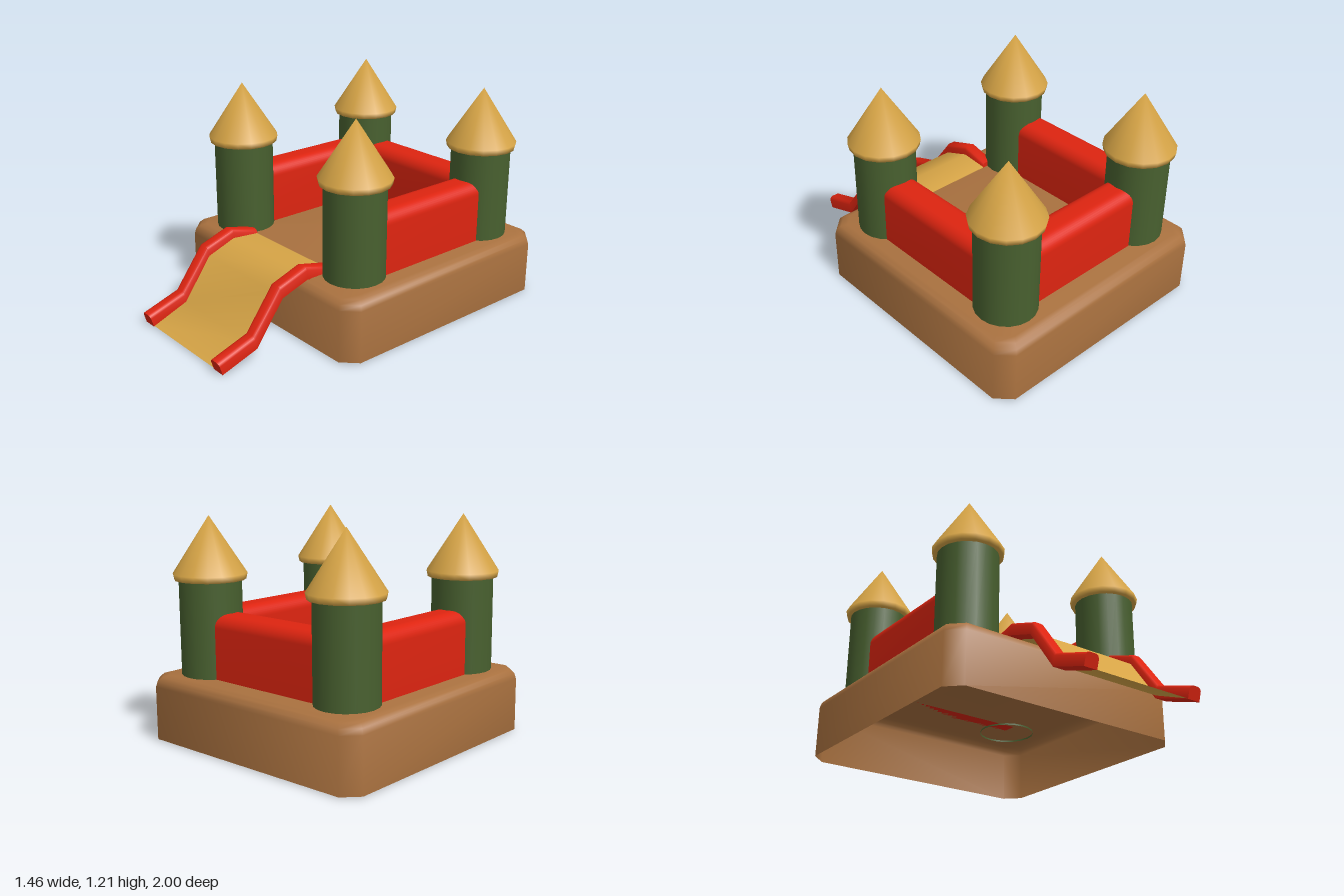
import * as THREE from 'three';
import { mergeVertices, toCreasedNormals } from 'three/addons/utils/BufferGeometryUtils.js';

const mat = (name, color) => {
  const m = new THREE.MeshStandardMaterial({ color, side: THREE.DoubleSide });
  m.name = name;
  return m;
};

// Skin a list of closed rings (counterclockwise seen from the last ring's side)
function loft(rings, { capStart = false, capEnd = false, crease = 0.7 } = {}) {
  const n = rings[0].length, pos = rings.flat(2), idx = [];
  for (let r = 0; r < rings.length - 1; r++) {
    for (let i = 0; i < n; i++) {
      const a = r * n + i, b = r * n + (i + 1) % n;
      idx.push(a, b, b + n, a, b + n, a + n);
    }
  }
  const cap = (r, flip) => {
    const c = pos.length / 3;
    pos.push(...[0, 1, 2].map(k => rings[r].reduce((s, p) => s + p[k], 0) / n));
    for (let i = 0; i < n; i++) {
      const a = r * n + i, b = r * n + (i + 1) % n;
      idx.push(c, flip ? b : a, flip ? a : b);
    }
  };
  if (capStart) cap(0, true);
  if (capEnd) cap(rings.length - 1, false);
  const g = new THREE.BufferGeometry();
  g.setAttribute('position', new THREE.Float32BufferAttribute(pos, 3));
  g.setIndex(idx);
  return toCreasedNormals(g, crease);
}

export function createModel() {
  const brown = mat('tan brown', 0xa9713f);
  const green = mat('dark green', 0x48602f);
  const gold = mat('gold', 0xd6a446);
  const red = mat('red', 0xdd2410);
  const model = new THREE.Group();
  model.name = 'bouncyCastle';
  const add = (name, geo, m, x = 0, y = 0, z = 0) => {
    const mesh = new THREE.Mesh(geo, m);
    mesh.name = name;
    mesh.position.set(x, y, z);
    model.add(mesh);
    return mesh;
  };

  // Hollow base: chamfered rectangle with a rounded upper rim, open underneath
  const octagon = (y, inset) => {
    const X = 0.732 - inset, Z = 0.733 - inset, c = 0.08 - inset * 0.3, z0 = -0.267;
    return [[-X + c, Z], [X - c, Z], [X, Z - c], [X, -Z + c],
      [X - c, -Z], [-X + c, -Z], [-X, -Z + c], [-X, Z - c]].map(([x, z]) => [x, y, z + z0]);
  };
  const levels = [[0.01, 0], [0.3, 0], [0.33, 0.008], [0.351, 0.029], [0.36, 0.06]];
  add('base', loft(levels.map(([y, i]) => octagon(y, i)), { capEnd: true, crease: 0.9 }), brown);

  // Towers with conical roofs
  const tower = new THREE.CylinderGeometry(0.167, 0.167, 0.53, 20, 1, true);
  const profile = [[0.16, 0.872], [0.19, 0.872], [0.197, 0.905], [0, 1.21]]
    .map(p => new THREE.Vector2(...p));
  let roof = new THREE.LatheGeometry(profile, 16);
  roof.deleteAttribute('normal');
  roof.deleteAttribute('uv');
  roof = mergeVertices(roof);
  roof.computeVertexNormals();
  for (const [end, z] of [['front', 0.21], ['back', -0.743]]) {
    for (const [side, s] of [['Left', 1], ['Right', -1]]) {
      add(end + side + 'Tower', tower, green, s * 0.482, 0.615, z);
      add(end + side + 'Roof', roof, gold, s * 0.482, 0, z);
    }
  }

  // Inflated walls with rounded tops, running between tower centres
  const wall = (length) => {
    const w = 0.1, h = 0.345, r = 0.068, s = new THREE.Shape();
    s.moveTo(-w, 0);
    s.lineTo(w, 0);
    s.lineTo(w, h - r);
    s.absarc(w - r, h - r, r, 0, Math.PI / 2);
    s.absarc(-w + r, h - r, r, Math.PI / 2, Math.PI);
    s.lineTo(-w, 0);
    const g = new THREE.ExtrudeGeometry(s, { depth: length, bevelEnabled: false, curveSegments: 5 });
    return toCreasedNormals(g.translate(0, 0, -length / 2), 0.6);
  };
  const sideWall = wall(0.9);
  add('leftWall', sideWall, red, 0.492, 0.36, -0.267);
  add('rightWall', sideWall, red, -0.492, 0.36, -0.267);
  add('backWall', wall(0.92), red, 0, 0.36, -0.74).rotation.y = Math.PI / 2;

  // Slide rails: rounded-top bars following the slope; stations are [z, y bottom, z, y top]
  const stations = [[0.27, 0.325, 0.27, 0.39], [0.432, 0.36, 0.438, 0.43],
    [0.597, 0.305, 0.612, 0.37], [0.765, 0.075, 0.78, 0.145], [0.98, 0.005, 1.0, 0.073]];
  const section = [[-0.039, 0], [0.039, 0], [0.039, 0.75], [0.032, 0.92], [0.018, 1],
    [-0.018, 1], [-0.032, 0.92], [-0.039, 0.75]];
  const rail = loft(stations.map(([z0, y0, z1, y1]) =>
    section.map(([x, t]) => [x, y0 + (y1 - y0) * t, z0 + (z1 - z0) * t])),
  { capStart: true, capEnd: true });
  add('leftSlideRail', rail, red, 0.329);
  add('rightSlideRail', rail, red, -0.329);

  // Slide bed: one thin sheet bent along the slope, with a small lip at the top
  const path = [[0.27, 0.352], [0.271, 0.366], [0.435, 0.38], [0.603, 0.318], [0.77, 0.088], [0.977, 0.008]];
  const bed = new THREE.PlaneGeometry(0.6, 1, 1, path.length - 1);
  const p = bed.attributes.position;
  for (let i = 0; i < p.count; i++) {
    const [z, y] = path[Math.floor(i / 2)];
    p.setXYZ(i, p.getX(i), y, z);
  }
  bed.computeVertexNormals();
  add('slideBed', bed, gold);

  return model;
}
